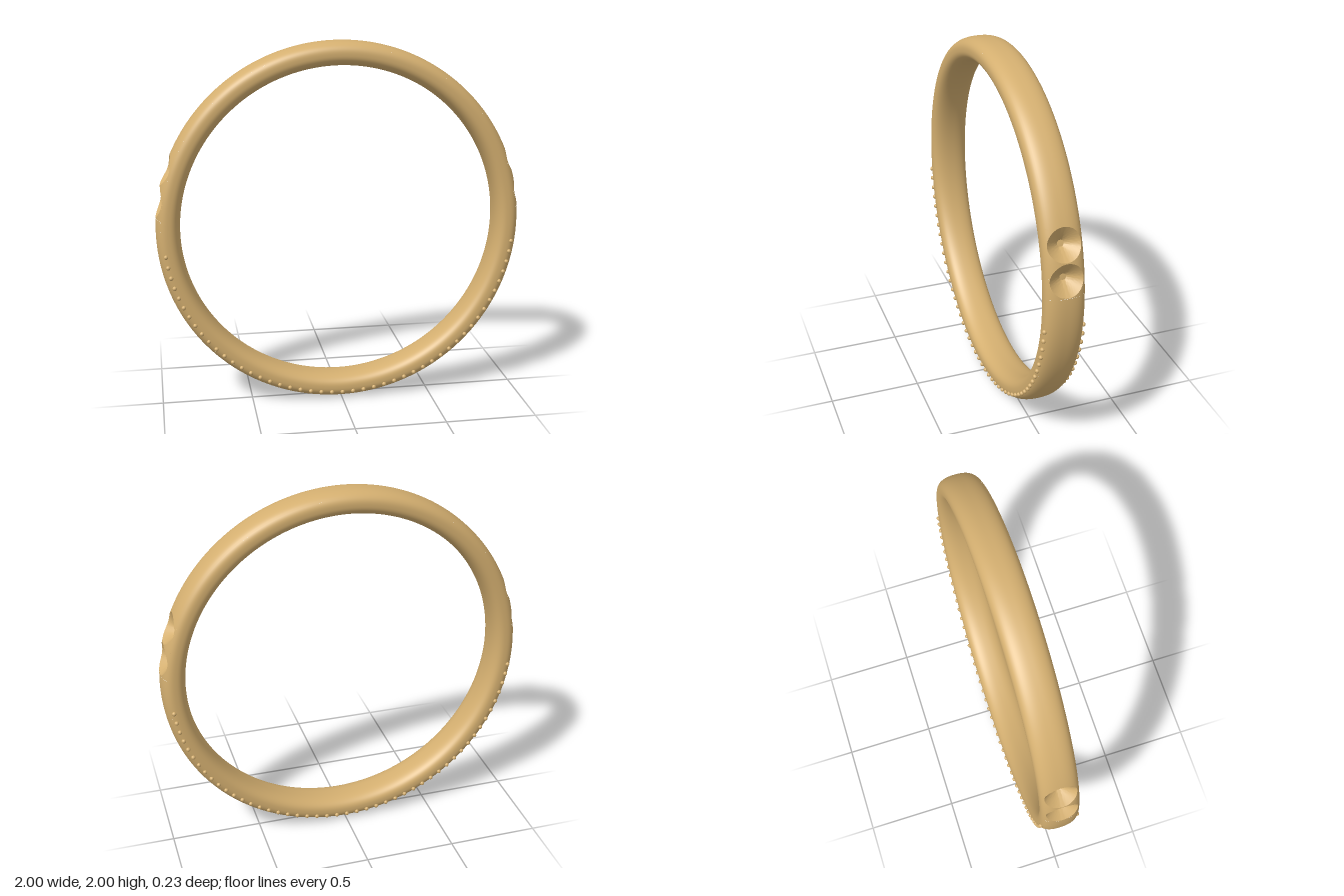
import * as THREE from 'three';
import { mergeGeometries, toCreasedNormals } from 'three/addons/utils/BufferGeometryUtils.js';

const DEG = Math.PI / 180;
// Band section: a rounded oval, MID from the axis, A thick and B wide (half sizes)
const MID = 0.935, A = 0.065, B = 0.104, N = 2.5;
// Dimple cells on the outer face: half angle, half width, and the round rim inside
const CELL = 5.15 * DEG, CELL_Z = 0.091, RIM = 0.0865, FLOOR_R = 0.93;
const DIMPLES = [9.45, 19.75, 160.25, 170.55];

const outerR = z => MID + A * Math.pow(1 - Math.pow(Math.abs(z) / B, N), 1 / N);
const power = (x, p) => Math.sign(x) * Math.pow(Math.abs(x), p);
const polar = (theta, r, z) => [r * Math.cos(theta), r * Math.sin(theta), z];

// Surface from f(u, v), facing along du x dv
function grid(f, nu, nv) {
  const pos = [], index = [];
  for (let i = 0; i <= nu; i++)
    for (let j = 0; j <= nv; j++) pos.push(...f(i / nu, j / nv));
  for (let i = 0; i < nu; i++)
    for (let j = 0; j < nv; j++) {
      const a = i * (nv + 1) + j, b = a + nv + 1;
      index.push(a, b, a + 1, b, b + 1, a + 1);
    }
  const g = new THREE.BufferGeometry();
  g.setAttribute('position', new THREE.Float32BufferAttribute(pos, 3));
  g.setIndex(index);
  return g;
}

// Smooth normals straight from the section's formula
function sectionNormals(g) {
  const p = g.attributes.position, out = [], n = new THREE.Vector3();
  for (let i = 0; i < p.count; i++) {
    const x = p.getX(i), y = p.getY(i), r = Math.hypot(x, y);
    const nr = power((r - MID) / A, N - 1) / A;
    n.set(nr * x / r, nr * y / r, power(p.getZ(i) / B, N - 1) / B).normalize();
    out.push(n.x, n.y, n.z);
  }
  g.setAttribute('normal', new THREE.Float32BufferAttribute(out, 3));
  return g;
}

function bandGeometry() {
  // Sides and inner face
  const start = Math.asin(Math.pow(CELL_Z / B, N / 2));
  const parts = [grid((u, v) => {
    const phi = start + v * 2 * (Math.PI - start);
    return polar(u * 2 * Math.PI, MID + A * power(Math.cos(phi), 2 / N), B * power(Math.sin(phi), 2 / N));
  }, 240, 40)];
  // Outer face between the dimpled stretches
  for (const [from, to] of [[24.9, 155.1], [175.75, 364.25]])
    parts.push(grid((u, v) => {
      const z = CELL_Z * (2 * v - 1);
      return polar((from + (to - from) * u) * DEG, outerR(z), z);
    }, Math.round((to - from) / 1.5), 20));
  // Outer face around each dimple: from round rim to square cell
  for (const d of DIMPLES)
    parts.push(grid((u, v) => {
      const c = Math.cos(v * 2 * Math.PI), s = Math.sin(v * 2 * Math.PI);
      const k = 1 / Math.max(Math.abs(c), Math.abs(s));
      const theta = c * THREE.MathUtils.lerp(RIM / 0.99, CELL * k, u);
      const z = s * THREE.MathUtils.lerp(RIM, CELL_Z * k, u);
      return polar(d * DEG + theta, outerR(z), z);
    }, 4, 64));
  return sectionNormals(mergeGeometries(parts));
}

// Conical seat with a small flat floor
function dimpleGeometry(degrees) {
  const g = grid((u, v) => {
    const a = v * 2 * Math.PI, c = Math.cos(a), s = Math.sin(a);
    const depth = Math.max(0, (u - 0.2) / 0.8);
    const r = THREE.MathUtils.lerp(FLOOR_R, outerR(RIM * s), depth);
    return polar(degrees * DEG + u * c * RIM / 0.99, r, u * s * RIM);
  }, 10, 64);
  return toCreasedNormals(g, 0.4);
}

export function createModel() {
  const model = new THREE.Group();
  const gold = new THREE.MeshStandardMaterial({ color: 0xd4af70 });
  const add = (name, geometry, parent) => {
    const mesh = new THREE.Mesh(geometry, gold);
    mesh.name = name;
    parent.add(mesh);
    return mesh;
  };

  const ring = new THREE.Group();
  ring.name = 'ring';
  ring.position.y = 1;
  model.add(ring);

  add('band', bandGeometry(), ring);
  DIMPLES.forEach(d => add('dimple', dimpleGeometry(d), ring));

  // Rows of beads along the lower half of both edges
  const bead = new THREE.SphereGeometry(0.012, 12, 8);
  for (const side of [1, -1]) {
    const row = new THREE.Group();
    row.name = side > 0 ? 'frontBeads' : 'backBeads';
    ring.add(row);
    for (let i = -23; i <= 23; i++)
      add('bead', bead, row).position.set(...polar((270 + i * 3.6) * DEG, 0.96, side * 0.102));
  }
  return model;
}
